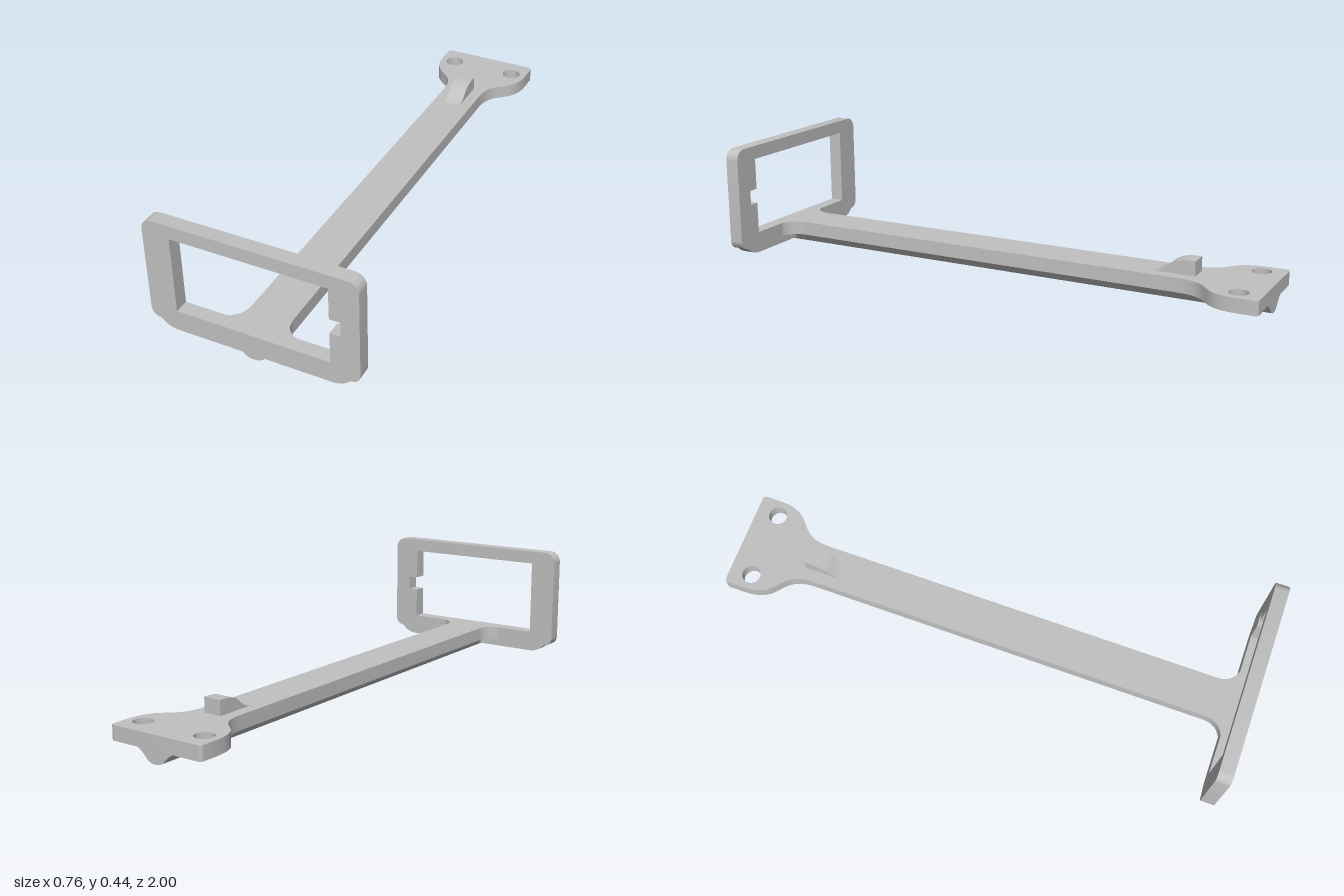
import * as THREE from 'three';
import { toCreasedNormals } from 'three/addons/utils/BufferGeometryUtils.js';

const grey = new THREE.MeshStandardMaterial({ color: 0xc0c0c0 });
grey.name = 'plain grey';

function extrude(shape, depth) {
  return new THREE.ExtrudeGeometry(shape, { depth, bevelEnabled: false, curveSegments: 16 });
}

function addPart(group, name, geometry) {
  const mesh = new THREE.Mesh(toCreasedNormals(geometry, 0.5), grey);
  mesh.name = name;
  group.add(mesh);
}

// Upright rectangular frame with a notched window
function frameGeometry() {
  const s = new THREE.Shape();
  s.moveTo(-0.28, 0.018);
  s.lineTo(0.28, 0.018);
  s.bezierCurveTo(0.31, 0.018, 0.33, 0.031, 0.345, 0.047);
  s.quadraticCurveTo(0.38, 0.05, 0.38, 0.085);
  s.lineTo(0.38, 0.395);
  s.absarc(0.34, 0.395, 0.04, 0, Math.PI / 2);
  s.lineTo(-0.34, 0.435);
  s.absarc(-0.34, 0.395, 0.04, Math.PI / 2, Math.PI);
  s.lineTo(-0.38, 0.085);
  s.quadraticCurveTo(-0.38, 0.05, -0.345, 0.047);
  s.bezierCurveTo(-0.33, 0.031, -0.31, 0.018, -0.28, 0.018);
  const hole = [[-0.28, 0.097], [-0.28, 0.385], [0.277, 0.385], [0.277, 0.268],
    [0.315, 0.268], [0.315, 0.213], [0.277, 0.213], [0.277, 0.097]];
  s.holes.push(new THREE.Path(hole.map(([x, y]) => new THREE.Vector2(x, y))));
  return extrude(s, 0.052).translate(0, 0, 0.948);
}

// Flat arm: plan outline in x and z, flared at both ends, with two screw holes
function armGeometry() {
  const s = new THREE.Shape();
  s.moveTo(-0.138, 0.95);
  s.quadraticCurveTo(-0.078, 0.935, -0.078, 0.87);
  s.lineTo(-0.078, -0.68);
  s.bezierCurveTo(-0.078, -0.83, -0.19, -0.77, -0.19, -0.93);
  s.lineTo(-0.19, -0.985);
  s.quadraticCurveTo(-0.19, -1, -0.175, -1);
  s.lineTo(0.175, -1);
  s.quadraticCurveTo(0.19, -1, 0.19, -0.985);
  s.lineTo(0.19, -0.93);
  s.bezierCurveTo(0.19, -0.77, 0.078, -0.83, 0.078, -0.68);
  s.lineTo(0.078, 0.87);
  s.quadraticCurveTo(0.078, 0.935, 0.138, 0.95);
  for (const x of [-0.13, 0.13]) {
    s.holes.push(new THREE.Path().absarc(x, -0.915, 0.035, 0, Math.PI * 2, true));
  }
  return extrude(s, 0.052).rotateX(Math.PI / 2).translate(0, 0.097, 0);
}

// Rounded stiffening rib along the underside
function ribGeometry() {
  const s = new THREE.Shape();
  s.moveTo(-0.078, 0.046);
  s.quadraticCurveTo(-0.058, 0.038, -0.04, 0.018);
  s.bezierCurveTo(-0.022, -0.006, 0.022, -0.006, 0.04, 0.018);
  s.quadraticCurveTo(0.058, 0.038, 0.078, 0.046);
  return extrude(s, 2).translate(0, 0, -1);
}

// Small catch on top: square at the back, curved ramp towards the front
function catchGeometry() {
  const s = new THREE.Shape();
  s.moveTo(-0.73, 0.09);
  s.lineTo(-0.58, 0.09);
  s.lineTo(-0.58, 0.097);
  s.quadraticCurveTo(-0.61, 0.102, -0.632, 0.125);
  s.quadraticCurveTo(-0.66, 0.151, -0.71, 0.151);
  s.lineTo(-0.73, 0.151);
  return extrude(s, 0.068).rotateY(-Math.PI / 2).translate(0.034, 0, 0);
}

export function createModel() {
  const group = new THREE.Group();
  group.name = 'frameBracket';
  addPart(group, 'windowFrame', frameGeometry());
  addPart(group, 'arm', armGeometry());
  addPart(group, 'undersideRib', ribGeometry());
  addPart(group, 'catch', catchGeometry());
  return group;
}
